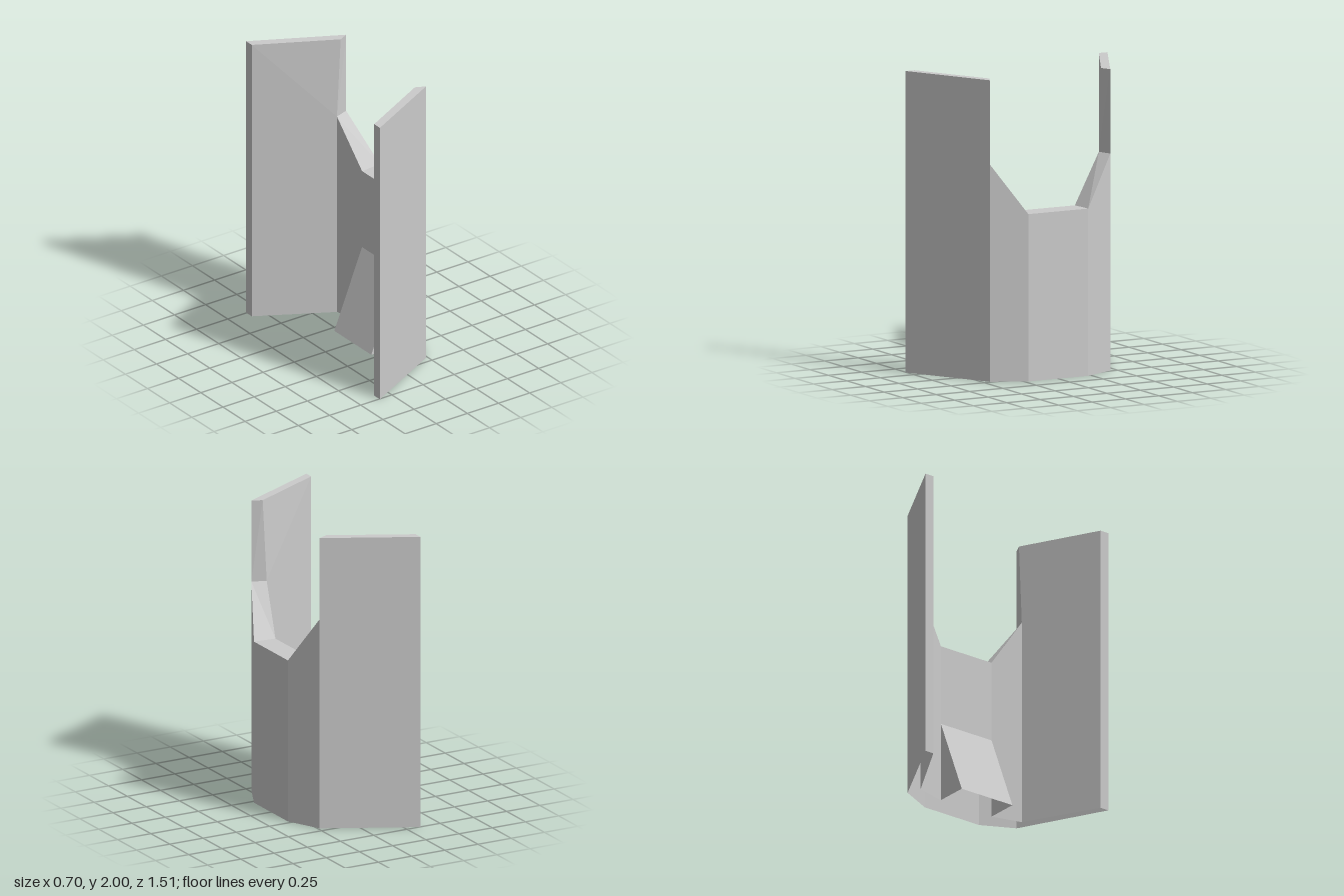
import * as THREE from 'three';

const material = new THREE.MeshStandardMaterial({ color: 0xcccccc, flatShading: true, side: THREE.DoubleSide });

// Mesh from convex polygons, each fanned from its first corner
function panelMesh(name, polygons) {
  const positions = [];
  for (const p of polygons) {
    for (let i = 1; i < p.length - 1; i++) positions.push(...p[0], ...p[i], ...p[i + 1]);
  }
  const geometry = new THREE.BufferGeometry();
  geometry.setAttribute('position', new THREE.Float32BufferAttribute(positions, 3));
  geometry.computeVertexNormals();
  const mesh = new THREE.Mesh(geometry, material);
  mesh.name = name;
  return mesh;
}

// Mirror polygons across z = 0, keeping them facing outward
const mirrorZ = (polygons) => polygons.map((p) => p.map(([x, y, z]) => [x, y, -z]).reverse());
const both = (polygons) => [...polygons, ...mirrorZ(polygons)];
// Mirrored copy that keeps the first corner as the fan centre
const bothFan = (p) => [p, [p[0], ...p.slice(1).reverse()].map(([x, y, z]) => [x, y, -z])];

export function createModel() {
  const group = new THREE.Group();
  const TOP = 2, BEND = 1.44, SILL = 1.11, RAMP = 0.55;

  // Plan corners of the folded wall: wing tip, bend, middle panel edge
  const outTip = (y) => [-0.35, y, 0.755];
  const outBend = (y) => [0.237, y, 0.45];
  const outMid = (y, s = 1) => [0.346, y, 0.224 * s];
  const inTip = (y) => [-0.35, y, 0.69];
  const inBend = (y) => [y === TOP ? 0.17 : 0.14, y, 0.418];
  const inMid = (y, s = 1) => [0.193, y, 0.209 * s];
  const foot = (s) => [-0.03, 0, 0.209 * s];

  // Tall side wings, open underneath
  group.add(panelMesh('sideWings', [
    ...both([
      [outTip(0), outBend(0), outBend(TOP), outTip(TOP)],
      [inTip(0), outTip(0), outTip(TOP), inTip(TOP)],
      [outTip(TOP), outBend(TOP), inBend(TOP), inTip(TOP)],
      [outBend(BEND), inBend(BEND), inBend(TOP), outBend(TOP)],
    ]),
    ...bothFan([inBend(BEND), inBend(0), inTip(0), inTip(TOP), inBend(TOP)]),
  ]));

  // Angled panels with a sloping rim
  group.add(panelMesh('angledPanels', both([
    [outBend(0), outMid(0), outMid(SILL), outBend(BEND)],
    [inMid(0), inBend(0), inBend(BEND), inMid(SILL)],
    [outBend(BEND), outMid(SILL), inMid(SILL), inBend(BEND)],
  ])));

  // Low middle panel
  group.add(panelMesh('middlePanel', [
    [outMid(0), outMid(0, -1), outMid(SILL, -1), outMid(SILL)],
    [inMid(RAMP, -1), inMid(RAMP), inMid(SILL), inMid(SILL, -1)],
    [outMid(SILL), outMid(SILL, -1), inMid(SILL, -1), inMid(SILL)],
  ]));

  // Sloping foot inside the wall, open underneath
  group.add(panelMesh('innerRamp', [
    [foot(-1), foot(1), inMid(RAMP), inMid(RAMP, -1)],
    ...both([[foot(1), inMid(0), inMid(RAMP)]]),
  ]));

  return group;
}
